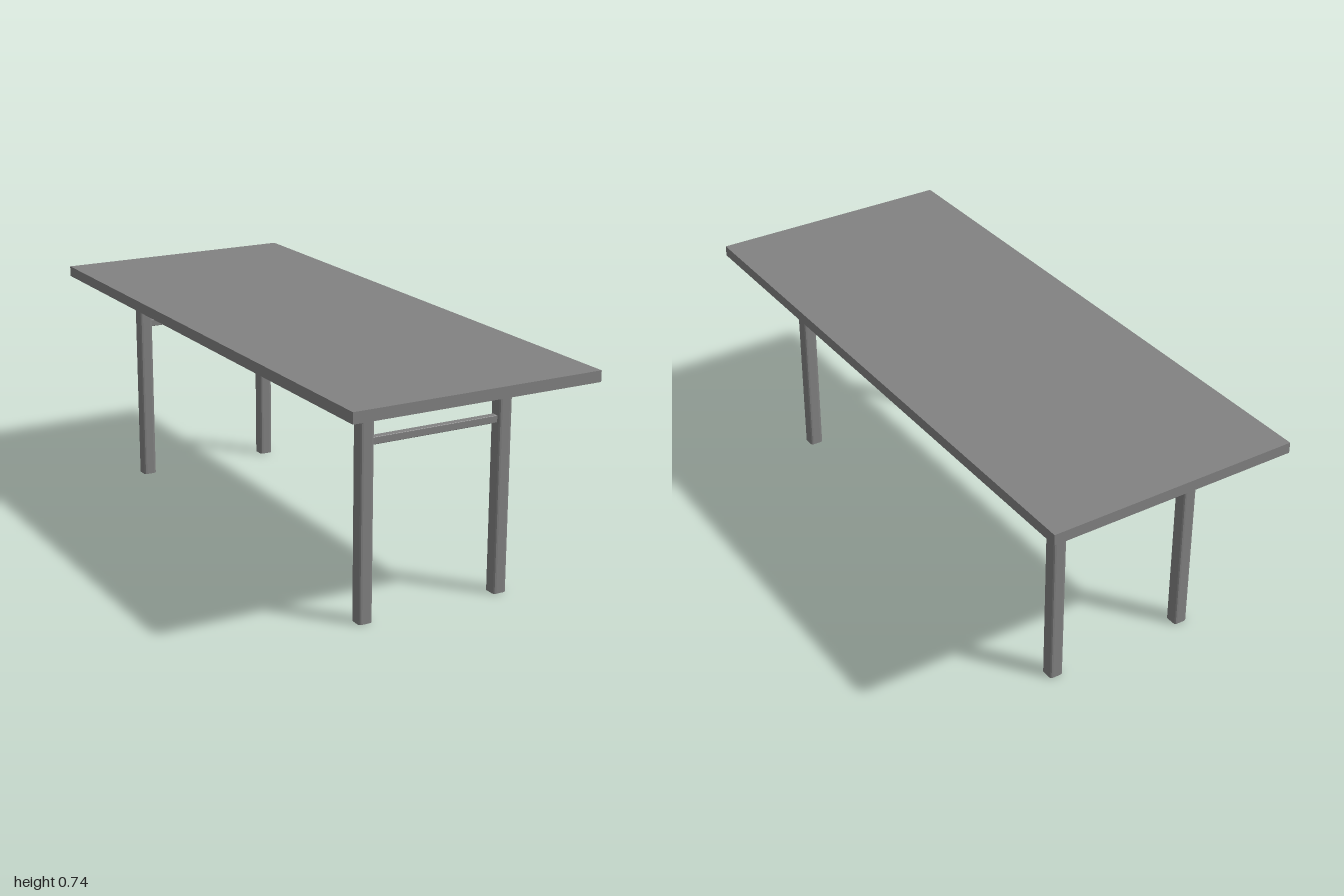
import * as THREE from 'three';

const material = new THREE.MeshStandardMaterial({ color: 0x828282, flatShading: true });

// Square bar along +z with eased long edges
function easedBar(size, length, r) {
  const h = size / 2;
  const s = new THREE.Shape();
  s.moveTo(-h + r, -h);
  s.lineTo(h - r, -h);
  s.quadraticCurveTo(h, -h, h, -h + r);
  s.lineTo(h, h - r);
  s.quadraticCurveTo(h, h, h - r, h);
  s.lineTo(-h + r, h);
  s.quadraticCurveTo(-h, h, -h, h - r);
  s.lineTo(-h, -h + r);
  s.quadraticCurveTo(-h, -h, -h + r, -h);
  return new THREE.ExtrudeGeometry(s, { depth: length, bevelEnabled: false, curveSegments: 3 });
}

export function createModel() {
  const table = new THREE.Group();
  table.name = 'table';

  const add = (name, geometry, x, y, z) => {
    const mesh = new THREE.Mesh(geometry, material);
    mesh.name = name;
    mesh.position.set(x, y, z);
    table.add(mesh);
  };

  const topHeight = 0.737, topThickness = 0.035;
  const legHeight = topHeight - topThickness;
  const legSize = 0.046, legX = 0.238, legZ = 0.762;

  // Tabletop slab
  add('tabletop', new THREE.BoxGeometry(0.83, topThickness, 2), 0, topHeight - topThickness / 2, 0);

  // Four legs, with a cross rail joining each end pair
  const legGeometry = easedBar(legSize, legHeight, 0.01).rotateX(-Math.PI / 2);
  const railLength = 2 * legX - legSize;
  const railGeometry = easedBar(0.023, railLength, 0.002)
    .translate(0, 0, -railLength / 2)
    .rotateY(Math.PI / 2);

  for (const [end, sz] of [['front', 1], ['back', -1]]) {
    for (const [side, sx] of [['Left', 1], ['Right', -1]]) {
      add(`${end}${side}Leg`, legGeometry, sx * legX, 0, sz * legZ);
    }
    add(`${end}Rail`, railGeometry, 0, 0.558, sz * legZ);
  }
  return table;
}
